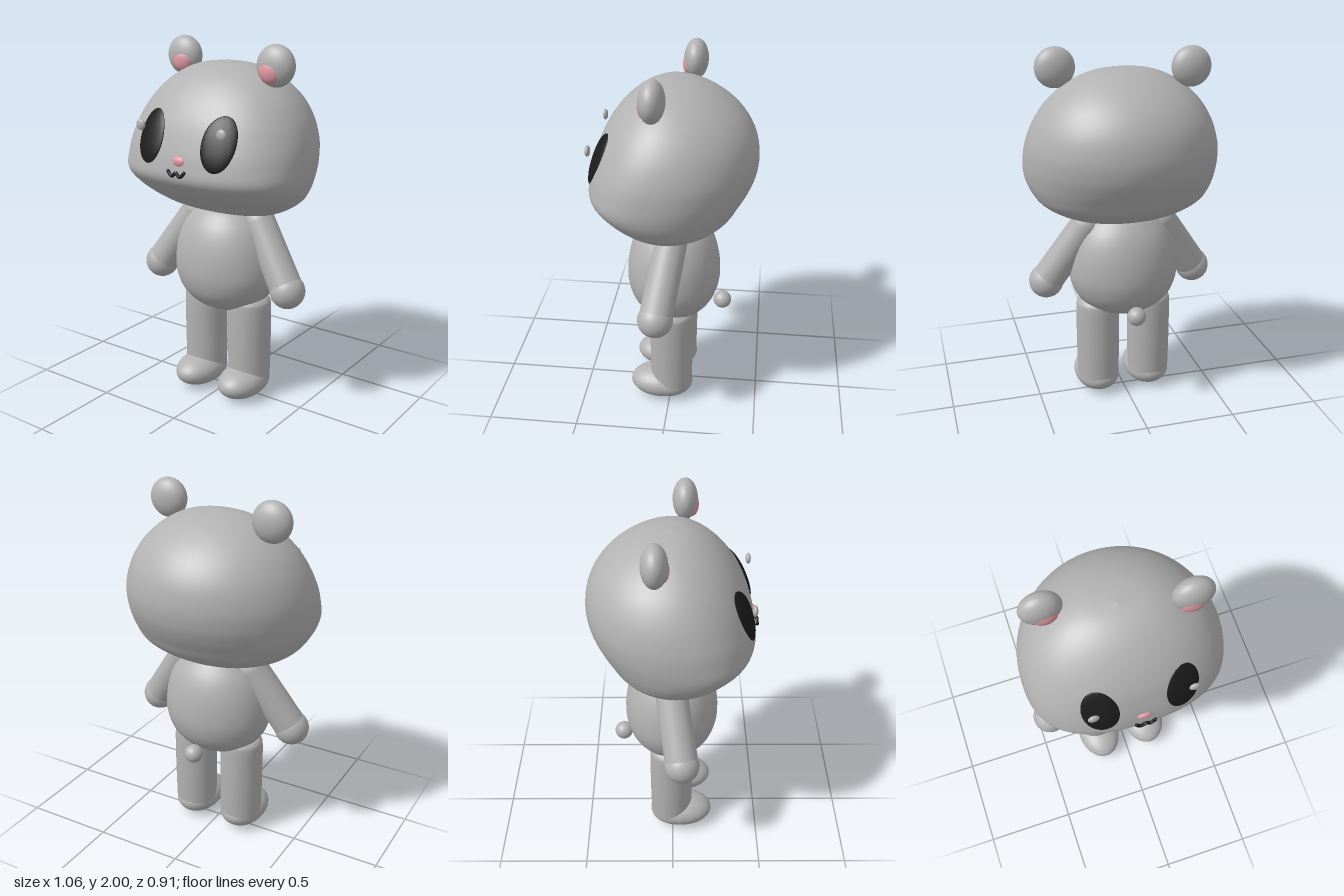
import * as THREE from 'three';

const mat = (name, color) => {
  const m = new THREE.MeshStandardMaterial({ color });
  m.name = name;
  return m;
};

export function createModel() {
  const group = new THREE.Group();
  const fur = mat('grey fur', 0xb2b2b2);
  const pink = mat('pink', 0xe09aa2);
  const black = mat('black', 0x1c1c1c);

  const add = (name, geo, material) => {
    const mesh = new THREE.Mesh(geo, material);
    mesh.name = name;
    group.add(mesh);
    return mesh;
  };
  const ellipsoid = (name, material, pos, rx, ry = rx, rz = rx) => {
    const geo = new THREE.SphereGeometry(1, 40, 28).scale(rx, ry, rz);
    const mesh = add(name, geo, material);
    mesh.position.set(...pos);
    return mesh;
  };
  const lathe = (points) => {
    const curve = new THREE.SplineCurve(points.map(([r, y]) => new THREE.Vector2(r, y)));
    const pts = curve.getPoints(48);
    pts.forEach((p) => { p.x = Math.max(p.x, 0); });
    return new THREE.LatheGeometry(pts, 48);
  };

  // Head: horizontal sections, bottom to top [y, half width, front z, back z, front squareness]
  const rows = [
    [1.072, 0, -0.04, -0.04, 2],
    [1.085, 0.24, 0.1, -0.17, 2.1],
    [1.12, 0.36, 0.2, -0.25, 2.2],
    [1.18, 0.455, 0.29, -0.33, 2.35],
    [1.25, 0.505, 0.375, -0.375, 2.45],
    [1.32, 0.527, 0.433, -0.415, 2.5],
    [1.4, 0.53, 0.43, -0.445, 2.45],
    [1.5, 0.518, 0.405, -0.455, 2.35],
    [1.62, 0.475, 0.36, -0.43, 2.2],
    [1.73, 0.4, 0.29, -0.36, 2.1],
    [1.82, 0.29, 0.2, -0.25, 2],
    [1.875, 0.16, 0.1, -0.13, 2],
    [1.895, 0, 0, 0, 2],
  ];
  const spline = (a, b, c) => new THREE.CatmullRomCurve3(
    rows.map((r) => new THREE.Vector3(r[a], r[b], r[c])), false, 'catmullrom');
  const wide = spline(0, 1, 2);
  const deep = spline(0, 3, 4);
  const N = 72, M = 72;
  const pos = [], index = [];
  for (let i = 0; i <= M; i++) {
    const { x: y, y: w, z: f } = wide.getPoint(i / M);
    const { y: b, z: n } = deep.getPoint(i / M);
    const zc = b + (f - b) * 0.56;
    for (let j = 0; j < N; j++) {
      const a = (j / N) * Math.PI * 2;
      const c = Math.cos(a), s = Math.sin(a);
      const e = s > 0 ? 2 / n : 1;
      const x = w * Math.sign(c) * Math.abs(c) ** e;
      const z = zc + (s > 0 ? (f - zc) * s ** e : (zc - b) * s);
      pos.push(x, y, z);
      if (i < M) {
        const k = (j + 1) % N;
        const p = i * N + j, q = i * N + k;
        index.push(p, p + N, q, q, p + N, q + N);
      }
    }
  }
  const headGeo = new THREE.BufferGeometry();
  headGeo.setAttribute('position', new THREE.Float32BufferAttribute(pos, 3));
  headGeo.setIndex(index);
  headGeo.computeVertexNormals();
  const head = add('head', headGeo, fur);
  head.updateMatrixWorld();

  // Finds the front of the face at a given x, y
  const ray = new THREE.Raycaster();
  const faceZ = (x, y) => {
    ray.set(new THREE.Vector3(x, y, 2), new THREE.Vector3(0, 0, -1));
    const hit = ray.intersectObject(head)[0];
    return hit ? hit.point.z : 0;
  };

  // Torso
  const body = add('body', lathe([
    [0, 0.488], [0.1, 0.506], [0.2, 0.555], [0.265, 0.62], [0.299, 0.7], [0.307, 0.78],
    [0.295, 0.88], [0.265, 0.97], [0.22, 1.04], [0.15, 1.1], [0, 1.14],
  ]), fur);
  body.scale.z = 0.85;
  body.position.z = -0.005;

  const legGeo = lathe([
    [0.118, 0.09], [0.121, 0.25], [0.122, 0.4], [0.121, 0.54], [0.112, 0.58], [0.08, 0.6], [0, 0.605],
  ]);

  // Foot with a blunt heel
  const footGeo = new THREE.SphereGeometry(1, 40, 28);
  const fp = footGeo.attributes.position;
  for (let i = 0; i < fp.count; i++) {
    const z = fp.getZ(i);
    if (z < 0) fp.setZ(i, -((-z) ** 0.85));
  }
  footGeo.scale(0.127, 0.09, 0.18);
  footGeo.computeVertexNormals();

  for (const s of [1, -1]) {
    const side = s > 0 ? 'left' : 'right';

    // Ears sit at different depths
    const ez = s > 0 ? 0.067 : -0.087;
    ellipsoid(side + 'Ear', fur, [s * 0.348, 1.893, ez], 0.108, 0.108, 0.067);
    ellipsoid(side + 'InnerEar', pink, [s * 0.338, 1.867, ez + 0.037], 0.065, 0.062, 0.035);

    // Eye: thin oval following the face
    const eyeGeo = new THREE.SphereGeometry(1, 36, 24);
    const ep = eyeGeo.attributes.position;
    for (let i = 0; i < ep.count; i++) {
      const x = s * 0.213 + ep.getX(i) * 0.091;
      const y = 1.525 + ep.getY(i) * 0.136;
      ep.setXYZ(i, x, y, faceZ(x, y) + 0.003 + ep.getZ(i) * 0.014);
    }
    eyeGeo.computeVertexNormals();
    add(side + 'Eye', eyeGeo, black);
    ellipsoid(side + 'EyeGlint', fur, [s * 0.257, 1.585, 0.408], 0.029, 0.029, 0.014);

    // Arm and hand
    const shoulder = new THREE.Vector3(s * 0.212, 1.035, -0.008);
    const wrist = new THREE.Vector3(s * 0.432, 0.703, 0.05);
    const dir = wrist.clone().sub(shoulder);
    const arm = add(side + 'Arm', new THREE.CylinderGeometry(0.087, 0.091, dir.length(), 36), fur);
    arm.position.copy(shoulder).add(wrist).multiplyScalar(0.5);
    arm.quaternion.setFromUnitVectors(new THREE.Vector3(0, -1, 0), dir.normalize());
    ellipsoid(side + 'Shoulder', fur, shoulder.toArray(), 0.087);
    ellipsoid(side + 'Hand', fur, wrist.toArray(), 0.096);

    // Leg and foot
    add(side + 'Leg', legGeo, fur).position.set(s * 0.151, 0, -0.007);
    add(side + 'Foot', footGeo, fur).position.set(s * 0.15, 0.094, 0.05);
  }

  // Nose, mouth and tail
  ellipsoid('nose', pink, [0, 1.423, 0.421], 0.04, 0.026, 0.016);
  const mouthPath = new THREE.CatmullRomCurve3([
    [-0.05, 1.374, 0.445], [-0.038, 1.358, 0.447], [-0.022, 1.352, 0.448], [0, 1.37, 0.448],
    [0.022, 1.352, 0.448], [0.038, 1.358, 0.447], [0.05, 1.374, 0.445],
  ].map((p) => new THREE.Vector3(...p)));
  add('mouth', new THREE.TubeGeometry(mouthPath, 48, 0.009, 10), black);
  for (const s of [1, -1]) ellipsoid('mouthCorner', black, [s * 0.05, 1.374, 0.445], 0.009);
  ellipsoid('tail', fur, [0, 0.58, -0.284], 0.051);

  return group;
}
